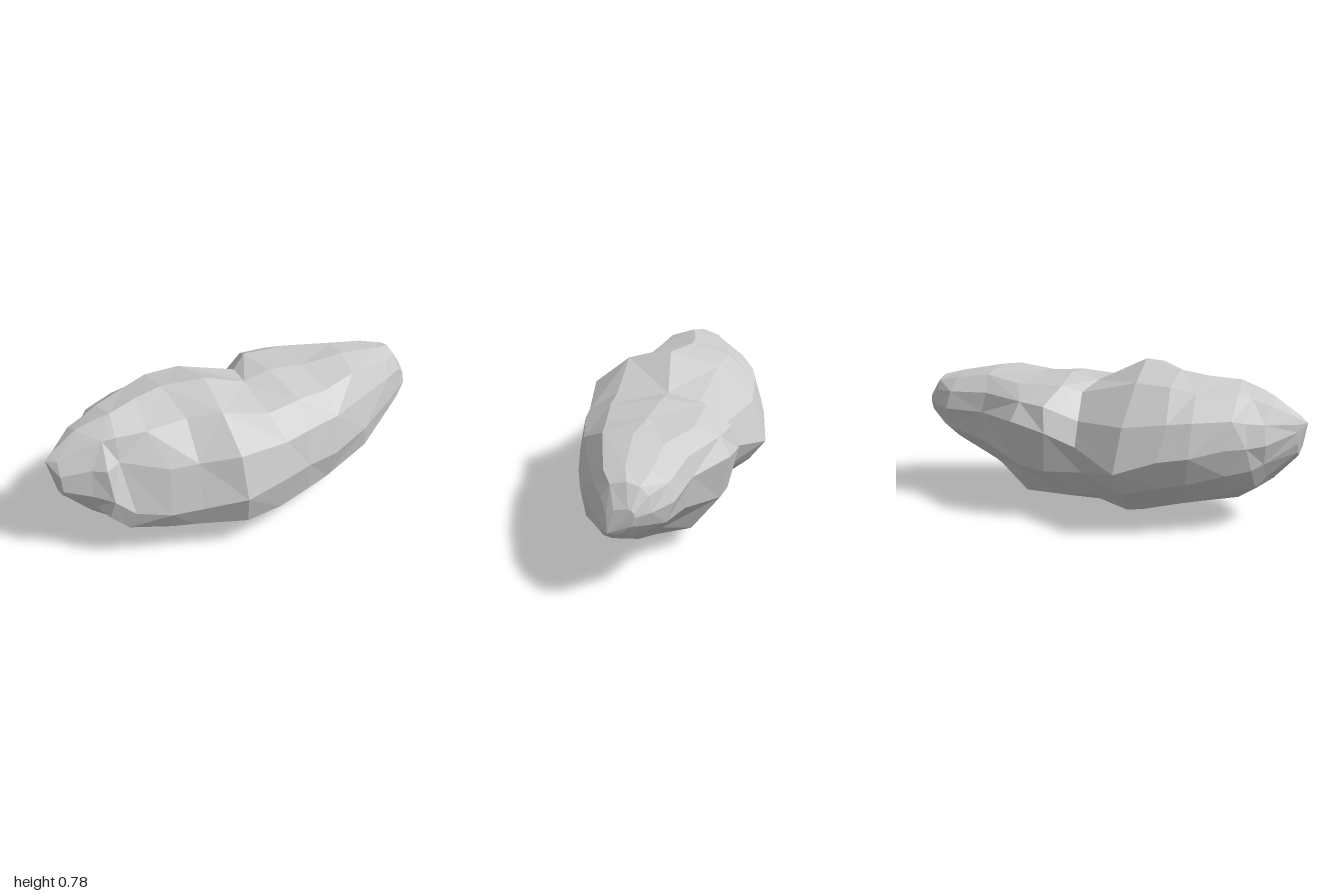
import * as THREE from 'three';

// Cross-sections along x:
// x, topY, topZ, frontZ, frontY, backZ, backY, bottomY, bottomZ
const SECTIONS = [
  [-0.96, 0.575, -0.03, 0.09, 0.42, -0.06, 0.50, 0.37, 0.00],
  [-0.84, 0.66, -0.03, 0.165, 0.40, -0.20, 0.46, 0.24, 0.00],
  [-0.76, 0.69, -0.02, 0.23, 0.38, -0.25, 0.45, 0.18, 0.00],
  [-0.67, 0.72, 0.00, 0.26, 0.30, -0.31, 0.45, 0.12, 0.00],
  [-0.52, 0.735, -0.04, 0.34, 0.29, -0.40, 0.42, 0.085, 0.00],
  [-0.38, 0.755, -0.05, 0.39, 0.31, -0.44, 0.40, 0.05, 0.00],
  [-0.18, 0.78, 0.02, 0.475, 0.35, -0.48, 0.33, 0.00, -0.02],
  [0.06, 0.66, -0.02, 0.43, 0.36, -0.35, 0.40, 0.02, 0.00],
  [0.20, 0.69, -0.02, 0.40, 0.37, -0.40, 0.47, 0.04, 0.00],
  [0.38, 0.675, 0.00, 0.355, 0.35, -0.39, 0.51, 0.04, -0.03],
  [0.60, 0.69, 0.02, 0.28, 0.38, -0.255, 0.50, 0.14, 0.00],
  [0.82, 0.645, 0.00, 0.165, 0.41, -0.22, 0.49, 0.27, 0.03],
  [0.92, 0.62, -0.03, 0.10, 0.42, -0.14, 0.48, 0.33, 0.04],
  [0.98, 0.52, -0.05, 0.06, 0.42, -0.08, 0.48, 0.38, 0.03],
];
const LEFT_TIP = [1, 0.40, 0.04];
const RIGHT_TIP = [-1, 0.54, -0.02];
const SIDES = 12; // three facets per quadrant

function seeded(seed) {
  return () => {
    seed = (seed * 16807) % 2147483647;
    return seed / 2147483647 - 0.5;
  };
}

// Roundness of a quadrant: below 1 is boxier, above 1 is flatter
function roundness(x, front, upper) {
  if (front) return x > 0 ? 0.8 : 0.97;
  if (upper) return x > 0.15 ? 0.85 : 1.05;
  if (x > 0.5) return 1.15;
  if (x > 0.1) return 1;
  return x > -0.3 ? 1.4 : 1.2;
}

// One ring: four curved quadrants joining front, top, back and bottom points
function makeRing([x, topY, topZ, frontZ, frontY, backZ, backY, bottomY, bottomZ], rand) {
  const ring = [];
  const rough = Math.min(1, (1 - Math.abs(x)) * 3) * 0.03;
  for (let j = 0; j < SIDES; j++) {
    const a = (j / SIDES) * Math.PI * 2;
    const front = j <= 3 || j >= 9, upper = j <= 6;
    const p = roundness(x, front, upper);
    const c = Math.abs(Math.cos(a)) ** p, s = Math.abs(Math.sin(a)) ** p;
    const midZ = upper ? topZ : bottomZ;
    const sideZ = front ? frontZ : backZ, sideY = front ? frontY : backY;
    const point = [x, sideY + ((upper ? topY : bottomY) - sideY) * s, midZ + (sideZ - midZ) * c];
    // irregular facets between the four main ridges
    if (j % 3) {
      point[0] += rand() * rough * 2;
      point[1] += rand() * rough * 0.6;
      point[2] += rand() * rough * 0.6;
    }
    ring.push(point);
  }
  return ring;
}

function createRockGeometry() {
  const rand = seeded(41);
  const rings = SECTIONS.map((section) => makeRing(section, rand));
  // chipped notch near the front right end
  rings[3][1] = [-0.7, 0.55, 0.16];
  const positions = [];
  const tri = (a, b, c) => positions.push(...a, ...b, ...c);
  const last = rings[rings.length - 1];
  for (let j = 0; j < SIDES; j++) {
    const k = (j + 1) % SIDES;
    tri(RIGHT_TIP, rings[0][j], rings[0][k]);
    for (let i = 0; i < rings.length - 1; i++) {
      const a = rings[i][j], b = rings[i + 1][j], c = rings[i + 1][k], d = rings[i][k];
      // alternate the diagonals for a natural faceted look
      if ((i + j) % 2) {
        tri(a, b, d);
        tri(b, c, d);
      } else {
        tri(a, b, c);
        tri(a, c, d);
      }
    }
    tri(LEFT_TIP, last[k], last[j]);
  }
  const geometry = new THREE.BufferGeometry();
  geometry.setAttribute('position', new THREE.Float32BufferAttribute(positions, 3));
  geometry.computeVertexNormals();
  return geometry;
}

export function createModel() {
  const group = new THREE.Group();
  group.name = 'boulder';
  const material = new THREE.MeshStandardMaterial({ color: 0xcccccc, flatShading: true });
  const rock = new THREE.Mesh(createRockGeometry(), material);
  rock.name = 'rock';
  group.add(rock);
  return group;
}
